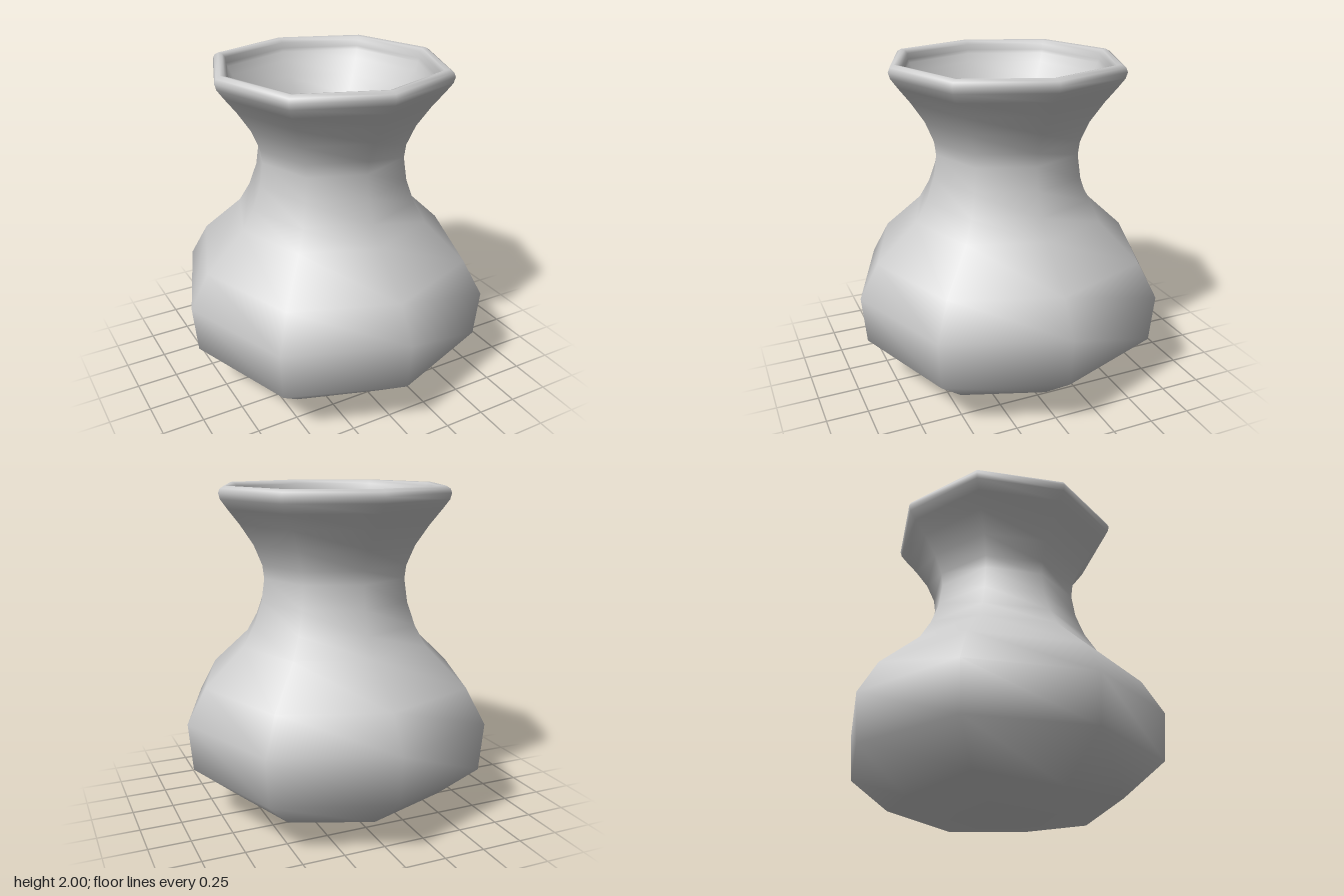
import * as THREE from 'three';
import { mergeVertices } from 'three/addons/utils/BufferGeometryUtils.js';

// Outer wall, from the pointed base up to the lip: [radius, height]
const outer = [
  [0, 0], [0.61, 0.09], [0.91, 0.33], [0.935, 0.62], [0.82, 0.83],
  [0.58, 1.06], [0.51, 1.18], [0.46, 1.32], [0.44, 1.46], [0.45, 1.54],
  [0.5, 1.66], [0.58, 1.78], [0.65, 1.87], [0.69, 1.925],
];
// Rounded lip with a small undercut inside
const lip = [
  [0.7, 1.96], [0.69, 1.985], [0.665, 2], [0.64, 1.995],
  [0.623, 1.975], [0.62, 1.94], [0.61, 1.92],
];
// Inner wall, from the funnel down to the floor
const inner = [
  [0.585, 1.87], [0.52, 1.78], [0.435, 1.67], [0.38, 1.55], [0.37, 1.46],
  [0.39, 1.32], [0.44, 1.18], [0.51, 1.03], [0.75, 0.8], [0.86, 0.61],
  [0.84, 0.37], [0.56, 0.16], [0, 0.08],
];

// Eight-sided turned body whose diagonal corners stand out slightly
function bodyGeometry() {
  const points = [...outer, ...lip, ...inner].map(([r, y]) => new THREE.Vector2(r, y));
  let geo = new THREE.LatheGeometry(points, 8);
  const pos = geo.attributes.position;
  for (let i = 0; i < pos.count; i++) {
    let x = pos.getX(i), y = pos.getY(i), z = pos.getZ(i);
    const diagonal = Math.min(Math.abs(x), Math.abs(z)) > 0.01;
    const foot = y > 0.085 && y < 0.2;
    const k = diagonal ? (foot ? 1.14 : 1.03) : 1;
    // belly is a touch deeper than wide
    const deep = y < 1 ? 1.01 : 1;
    pos.setXYZ(i, x * k, diagonal && foot ? y + 0.04 : y, z * k * deep);
  }
  // weld the seam so shading is smooth all round
  geo.deleteAttribute('normal');
  geo.deleteAttribute('uv');
  geo = mergeVertices(geo, 1e-4);
  geo.computeVertexNormals();
  return geo;
}

export function createModel() {
  const group = new THREE.Group();
  group.name = 'vase';
  const body = new THREE.Mesh(bodyGeometry(), new THREE.MeshStandardMaterial({ color: 0xcccccc }));
  body.name = 'vaseBody';
  group.add(body);
  return group;
}
